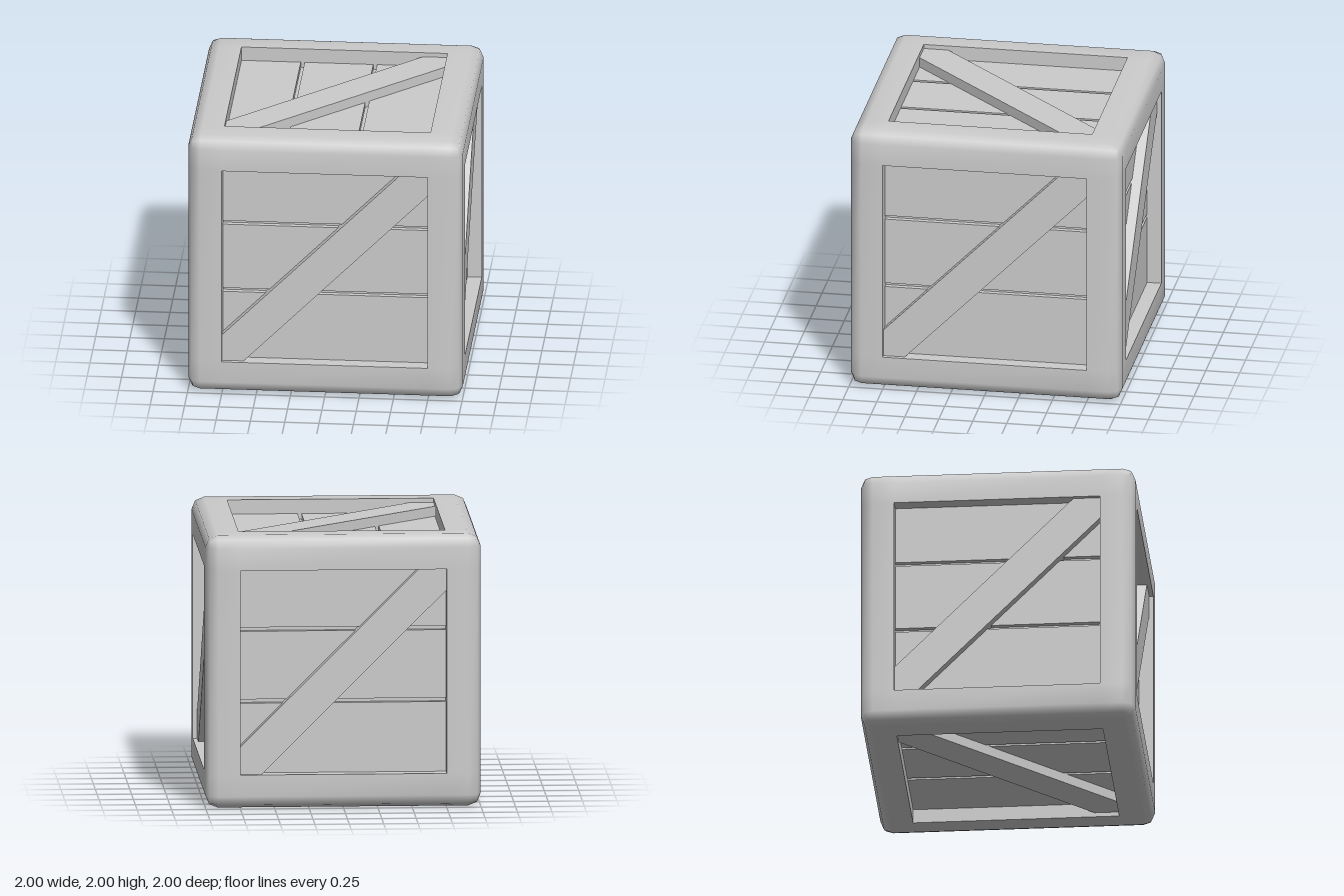
import * as THREE from 'three';
import { mergeVertices } from 'three/addons/utils/BufferGeometryUtils.js';

const HALF = 1, CORE = 0.91, OPEN = 0.75;   // outer half size, bevel start, half opening
const PANEL = 0.895, FLOOR = 0.855, BRACE = 0.968; // distances from the centre
const grey = new THREE.MeshStandardMaterial({ color: 0xcccccc });
const flat = new THREE.MeshStandardMaterial({ color: 0xcccccc, flatShading: true });
const inner = new THREE.MeshStandardMaterial({ color: 0xcccccc, flatShading: true, side: THREE.DoubleSide });

function add(parent, name, geometry, material) {
  const mesh = new THREE.Mesh(geometry, material);
  mesh.name = name;
  parent.add(mesh);
  return mesh;
}

// Rounded cube shell with a square opening in each side
function frameGeometry() {
  const lines = [-HALF, -CORE, -OPEN, OPEN, CORE, HALF];
  let geo = new THREE.BoxGeometry(5, 5, 5, 5, 5, 5);
  const pos = geo.attributes.position;
  const p = new THREE.Vector3(), core = new THREE.Vector3();
  const low = new THREE.Vector3(-CORE, -CORE, -CORE), high = new THREE.Vector3(CORE, CORE, CORE);
  for (let i = 0; i < pos.count; i++) {
    p.fromBufferAttribute(pos, i);
    p.set(...p.toArray().map(c => lines[Math.round(c + 2.5)]));
    core.copy(p).clamp(low, high);
    p.sub(core).setLength(HALF - CORE).add(core);
    pos.setXYZ(i, p.x, p.y, p.z);
  }
  // drop the middle cell of each side
  const kept = [], idx = geo.index.array;
  for (let i = 0; i < idx.length; i += 3) {
    const tri = [idx[i], idx[i + 1], idx[i + 2]];
    const middle = tri.every(v =>
      [pos.getX(v), pos.getY(v), pos.getZ(v)].filter(c => Math.abs(c) < OPEN + 0.01).length === 2);
    if (!middle) kept.push(...tri);
  }
  geo.setIndex(kept);
  geo.clearGroups();
  geo.deleteAttribute('normal');
  geo.deleteAttribute('uv');
  geo = mergeVertices(geo, 1e-4);
  geo.computeVertexNormals();
  return geo;
}

// Diagonal board cut to the opening; its edges are v = u + a and v = u - b
function braceGeometry(a, b) {
  const s = OPEN;
  const shape = new THREE.Shape([
    [-s, -s], [-s + b, -s], [s, s - b], [s, s], [s - a, s], [-s, -s + a],
  ].map(c => new THREE.Vector2(...c)));
  return new THREE.ExtrudeGeometry(shape, { depth: BRACE - FLOOR, bevelEnabled: false })
    .translate(0, 0, FLOOR);
}

// One recessed side, built facing +z
function makeSide(name, uprightPlanks, a, b) {
  const side = new THREE.Group();
  side.name = name;
  add(side, 'recessWall',
    new THREE.CylinderGeometry(OPEN * Math.SQRT2, OPEN * Math.SQRT2, HALF - FLOOR, 4, 1, true)
      .rotateY(Math.PI / 4).rotateX(Math.PI / 2).translate(0, 0, (HALF + FLOOR) / 2), inner);
  add(side, 'grooveFloor', new THREE.PlaneGeometry(2 * OPEN, 2 * OPEN).translate(0, 0, FLOOR), flat);

  const planks = new THREE.Group();
  planks.name = 'planks';
  for (const [from, to] of [[-OPEN, -0.238], [-0.21, 0.29], [0.318, OPEN]]) {
    add(planks, 'plank', new THREE.BoxGeometry(2 * OPEN, to - from, PANEL - FLOOR)
      .translate(0, (from + to) / 2, (PANEL + FLOOR) / 2), flat);
  }
  if (uprightPlanks) planks.rotation.z = Math.PI / 2;
  side.add(planks);

  add(side, 'diagonalBrace', braceGeometry(a, b), flat);
  return side;
}

export function createModel() {
  const model = new THREE.Group();
  model.name = 'crate';
  const body = new THREE.Group();
  body.name = 'crateBody';
  body.position.y = HALF;
  model.add(body);

  add(body, 'frame', frameGeometry(), grey);

  // four upright sides
  ['frontSide', 'leftSide', 'backSide', 'rightSide'].forEach((name, i) => {
    const side = makeSide(name, false, 0.2, 0.158);
    side.rotation.y = i * Math.PI / 2;
    body.add(side);
  });

  // lid and base
  [['topSide', -1], ['bottomSide', 1]].forEach(([name, turn]) => {
    const side = makeSide(name, true, 0.18, 0.18);
    side.rotation.x = turn * Math.PI / 2;
    body.add(side);
  });
  return model;
}
